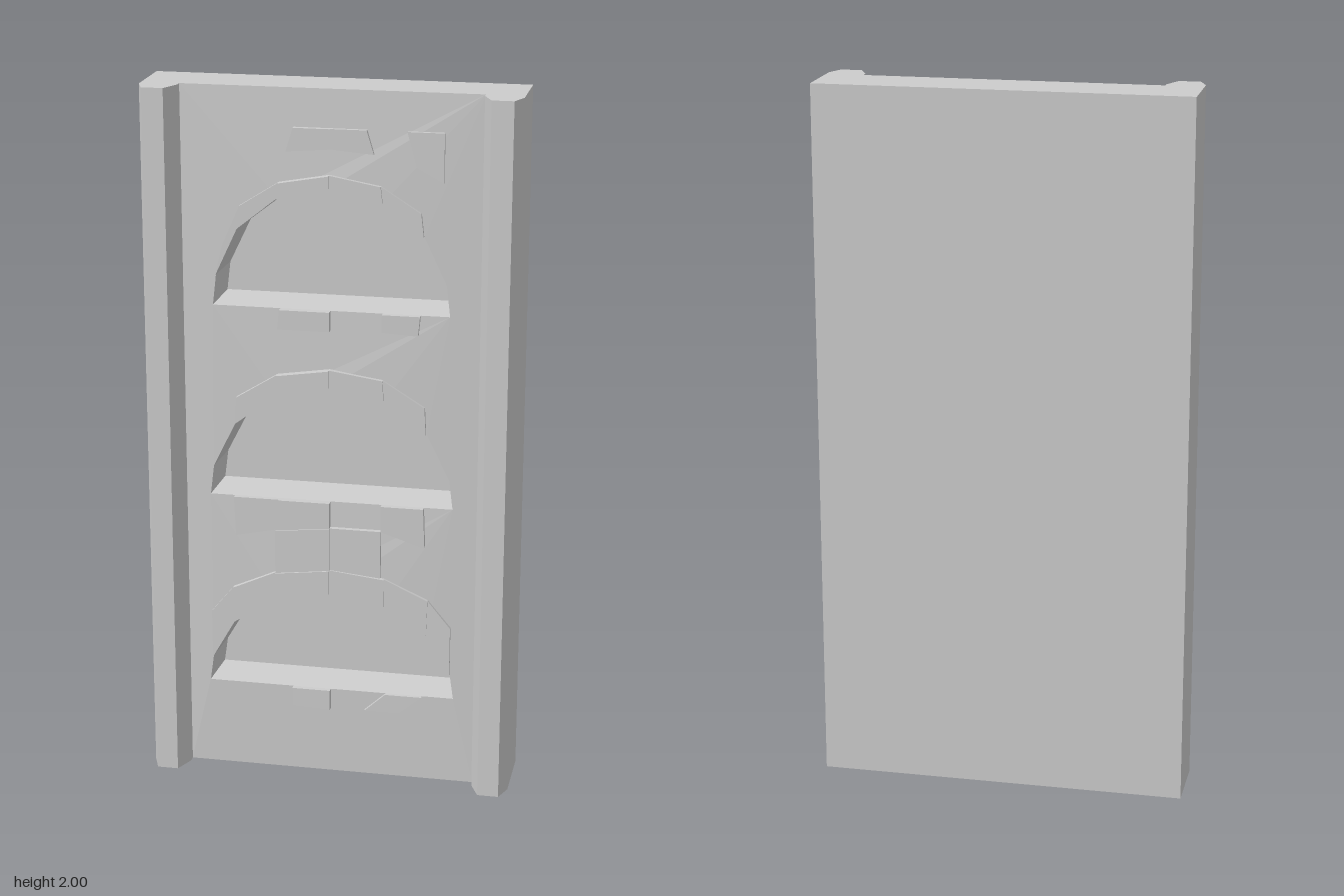
import * as THREE from 'three';

const FRONT = 0.04;      // panel face at its edges
const NICHE_BACK = -0.065;
const EDGE = 0.415;      // inner side of the pillars

// Each niche: floor height, half width, rise, outer corners of its arch stones
const niches = [
  { y: 0.26, w: 0.355, h: 0.305, outer: [[0.345, 0.48], [0.28, 0.56], [0.155, 0.617], [0, 0.635]] },
  { y: 0.835, w: 0.345, h: 0.34, outer: [null, [0.265, 1.13], [0.148, 1.203], [0, 1.225]] },
  { y: 1.39, w: 0.33, h: 0.345, outer: [[0.3, 1.56], [0.25, 1.675], [0.14, 1.745], [0, 1.77]] },
];
const archCurve = [[1, 0], [0.97, 0.25], [0.78, 0.64], [0.44, 0.9], [0, 1]];

const toShape = (pts) => new THREE.Shape(pts.map(([x, y]) => new THREE.Vector2(x, y)));
const mirror = (pts) => pts.map(([x, y]) => [-x, y]);
const halfArch = (n) => archCurve.map(([x, y]) => [x * n.w, n.y + y * n.h]);

export function createModel() {
  const group = new THREE.Group();
  const material = new THREE.MeshStandardMaterial({ color: 0xcccccc, flatShading: true });

  function add(name, geometry) {
    const mesh = new THREE.Mesh(geometry, material);
    mesh.name = name;
    group.add(mesh);
    return mesh;
  }

  // Flat stone: an outline standing out of the wall up to frontZ
  function stone(name, pts, frontZ) {
    const base = 0.03;
    const g = new THREE.ExtrudeGeometry(toShape(pts), { depth: frontZ - base, bevelEnabled: false });
    g.translate(0, 0, base);
    add(name, g);
  }

  // Back slab with the two chamfered pillars, one profile swept upward
  const side = [[0.52, -0.12], [0.52, 0.065], [0.5, 0.118], [0.44, 0.118], [EDGE, 0.06], [EDGE, NICHE_BACK]];
  const profile = [...side, ...mirror(side).reverse()].map(([x, z]) => [x, -z]);
  const frame = new THREE.ExtrudeGeometry(toShape(profile), { depth: 2, bevelEnabled: false });
  frame.rotateX(-Math.PI / 2);
  add('backSlabAndPillars', frame);

  // Front panel pierced by the arched niches
  const panelShape = toShape([[-EDGE, 0], [EDGE, 0], [EDGE, 2], [-EDGE, 2]]);
  for (const n of niches) {
    const half = halfArch(n);
    const outline = [...half, ...mirror(half.slice(0, -1)).reverse()];
    panelShape.holes.push(new THREE.Path(outline.map(([x, y]) => new THREE.Vector2(x, y))));
  }
  const panel = new THREE.ExtrudeGeometry(panelShape, { depth: FRONT - NICHE_BACK, bevelEnabled: false });
  panel.translate(0, 0, NICHE_BACK);
  // The face swells gently around the niches; the niches narrow toward the back
  const pos = panel.attributes.position;
  for (let i = 0; i < pos.count; i++) {
    const x = pos.getX(i), y = pos.getY(i);
    if (Math.abs(x) > EDGE - 0.001) continue;
    if (pos.getZ(i) > 0) {
      pos.setZ(i, FRONT + 0.016 * (1 - (x / EDGE) ** 2));
    } else {
      const n = niches.find((m) => y > m.y - 0.01 && y < m.y + m.h + 0.01);
      pos.setXY(i, x * 0.955, n.y + 0.015 + (y - n.y) * 0.93);
    }
  }
  panel.computeVertexNormals();
  add('nichePanel', panel);

  // Arch stones around the top of each niche
  const leftZ = [0.056, 0.065, 0.075], rightZ = [0.056, 0.06, 0.066];
  for (const n of niches) {
    const inner = halfArch(n).slice(1);
    for (let k = 0; k < 3; k++) {
      const first = n.outer[k];
      const pts = [inner[k], ...(first ? [first] : []), n.outer[k + 1], inner[k + 1]];
      // without a lower stone the middle one ends at the niche rim
      if (k === 0 && !first) continue;
      stone('archStoneLeft', mirror(pts), leftZ[k]);
      if (k > 0 || n.y < 0.5) stone('archStoneRight', pts, rightZ[k]);
    }
  }

  // Loose bricks showing in the wall: front depth, then corners
  const bricks = [
    [0.06, [[-0.12, 1.83], [0, 1.84], [0, 1.895], [-0.1, 1.895]]],
    [0.057, [[0, 1.84], [0.12, 1.83], [0.1, 1.895], [0, 1.895]]],
    [0.056, [[0.21, 1.895], [0.235, 1.8], [0.31, 1.76], [0.31, 1.895]]],
    [0.067, [[-0.145, 1.335], [0, 1.335], [0, 1.39], [-0.14, 1.39]]],
    [0.062, [[0.145, 1.34], [0.245, 1.335], [0.25, 1.39], [0.145, 1.39]]],
    [0.06, [[-0.275, 0.835], [-0.27, 0.72], [-0.155, 0.745], [-0.145, 0.835]]],
    [0.066, [[-0.145, 0.835], [-0.155, 0.745], [0, 0.76], [0, 0.835]]],
    [0.062, [[0.145, 0.76], [0.27, 0.72], [0.265, 0.835], [0.145, 0.835]]],
    [0.07, [[-0.155, 0.745], [-0.155, 0.617], [0, 0.635], [0, 0.76]]],
    [0.062, [[0, 0.76], [0, 0.635], [0.145, 0.62], [0.145, 0.76]]],
    [0.06, [[-0.11, 0.205], [0, 0.2], [0, 0.26], [-0.11, 0.26]]],
    [0.056, [[0.1, 0.205], [0.2, 0.205], [0.265, 0.26], [0.16, 0.26]]],
  ];
  for (const [z, pts] of bricks) stone('brick', pts, z);

  return group;
}
